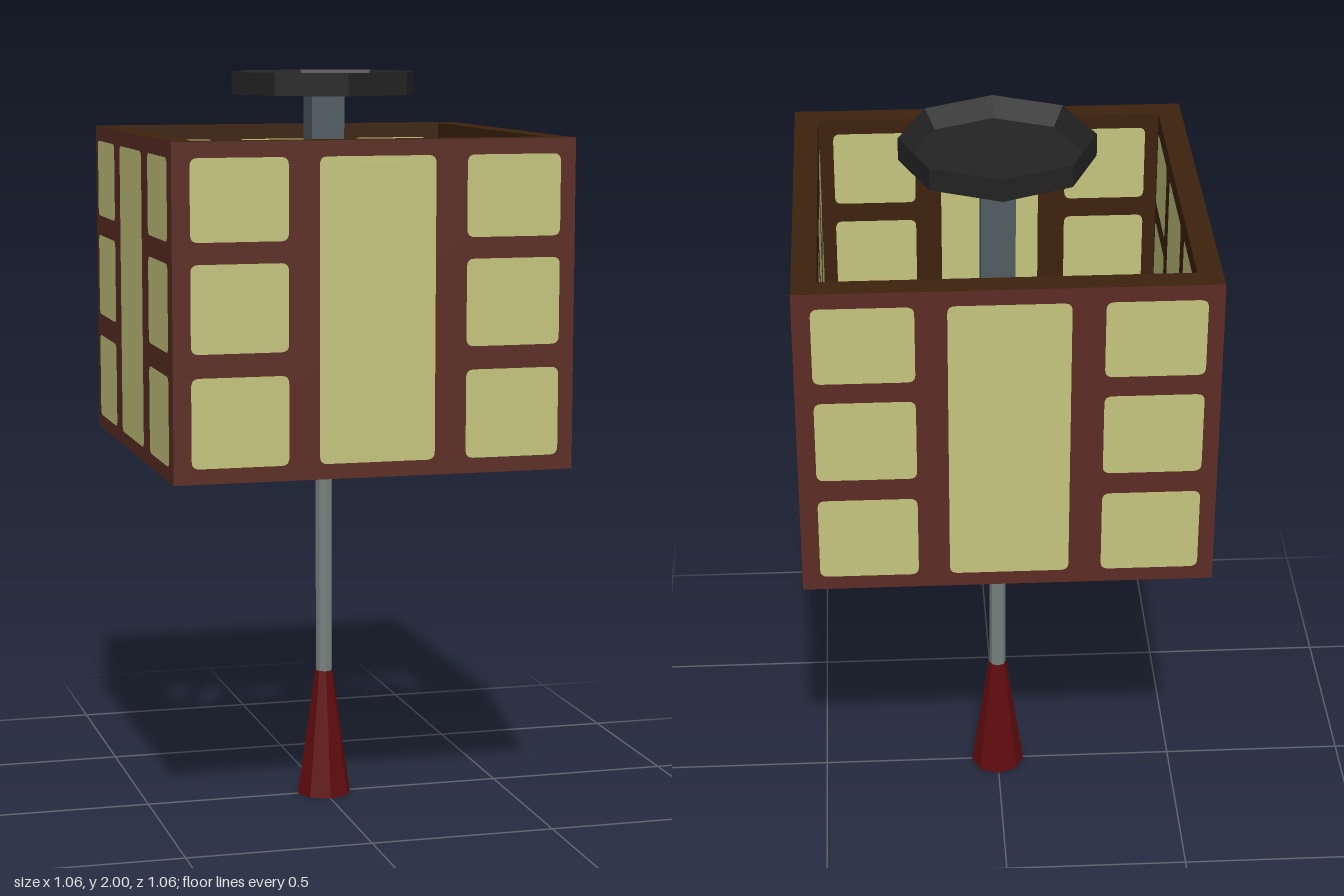
import * as THREE from 'three';

const mat = (name, color) => {
  const m = new THREE.MeshStandardMaterial({ color });
  m.name = name;
  return m;
};

export function createModel() {
  const lamp = new THREE.Group();
  lamp.name = 'hangingLamp';

  const redWood = mat('red wood', 0x5c2d24);
  const darkWood = mat('dark wood', 0x3d220e);
  const paper = mat('shade paper', 0xc4c47e);
  const black = mat('black', 0x232323);
  const slate = mat('slate metal', 0x515c62);
  const steel = mat('cord steel', 0x75827f);
  const tube = mat('light tube', 0xc2cccd);
  const handleRed = mat('handle red', 0x600c0e);

  const add = (parent, name, geometry, material, y = 0) => {
    const mesh = new THREE.Mesh(geometry, material);
    mesh.name = name;
    mesh.position.y = y;
    parent.add(mesh);
    return mesh;
  };

  // Faceted eight-sided lathe from [radius, y] pairs
  const octagon = (profile) => {
    const pts = profile.map(([r, y]) => new THREE.Vector2(r, y));
    const g = new THREE.LatheGeometry(pts, 8).toNonIndexed();
    g.computeVertexNormals();
    return g;
  };

  // Square shade body, open at top and bottom
  const bottom = 0.98, height = 0.86, half = 0.528, inner = 0.465;
  const square = (path, s) =>
    path.moveTo(-s, -s).lineTo(s, -s).lineTo(s, s).lineTo(-s, s).closePath();
  const outline = square(new THREE.Shape(), half);
  outline.holes.push(square(new THREE.Path(), inner));
  const body = new THREE.ExtrudeGeometry(outline, { depth: height, bevelEnabled: false });
  body.rotateX(-Math.PI / 2);
  add(lamp, 'shadeFrame', body, darkWood, bottom);

  // Rounded paper pane
  const pane = (x0, x1, y0, y1) => {
    const r = 0.02, s = new THREE.Shape();
    s.moveTo(x0 + r, y0).lineTo(x1 - r, y0).quadraticCurveTo(x1, y0, x1, y0 + r);
    s.lineTo(x1, y1 - r).quadraticCurveTo(x1, y1, x1 - r, y1);
    s.lineTo(x0 + r, y1).quadraticCurveTo(x0, y1, x0, y1 - r);
    s.lineTo(x0, y0 + r).quadraticCurveTo(x0, y0, x0 + r, y0);
    return s;
  };
  const panes = [pane(-0.15, 0.155, 1.02, 1.8)];
  for (const [y0, y1] of [[1.02, 1.25], [1.31, 1.535], [1.59, 1.8]]) {
    panes.push(pane(-0.483, -0.23, y0, y1), pane(0.238, 0.488, y0, y1));
  }
  const paneGeometry = new THREE.ShapeGeometry(panes, 4);
  const faceGeometry = new THREE.PlaneGeometry(half * 2 + 0.002, height);

  // Four identical sides, paned outside and inside
  for (let i = 0; i < 4; i++) {
    const side = new THREE.Group();
    side.name = 'shadeSide';
    side.rotation.y = i * Math.PI / 2;
    lamp.add(side);
    add(side, 'outerFace', faceGeometry, redWood, bottom + height / 2).position.z = half + 0.001;
    add(side, 'outerPanes', paneGeometry, paper).position.z = half + 0.004;
    const inside = add(side, 'innerPanes', paneGeometry, paper);
    inside.position.z = -inner + 0.003;
    inside.scale.x = inner / half;
  }

  // Ceiling dish with a shallow recess, and its square post
  add(lamp, 'ceilingDish', octagon([
    [0, 1.94], [0.255, 1.94], [0.255, 2], [0.22, 1.95], [0, 1.95],
  ]), black);
  add(lamp, 'post', new THREE.BoxGeometry(0.09, 0.68, 0.09), slate, 1.605);

  // Crossbar holding the tubes
  add(lamp, 'crossbar', new THREE.BoxGeometry(0.4, 0.08, 0.13), slate, 1.24);

  // Two concentric light tubes
  for (const [name, r] of [['outerTube', 0.4], ['innerTube', 0.282]]) {
    const w = 0.05, y0 = 1.195, y1 = 1.265;
    add(lamp, name, octagon([[r - w, y0], [r, y0], [r, y1], [r - w, y1], [r - w, y0]]), tube);
  }

  // Pull cord and tapered handle
  add(lamp, 'pullCord', octagon([[0, 0.33], [0.023, 0.33], [0.023, 1.205], [0, 1.205]]), steel);
  add(lamp, 'pullHandle', octagon([[0.075, 0], [0.025, 0.35], [0, 0.35]]), handleRed);
  add(lamp, 'handleBase', octagon([[0, 0], [0.075, 0]]), darkWood);

  return lamp;
}
